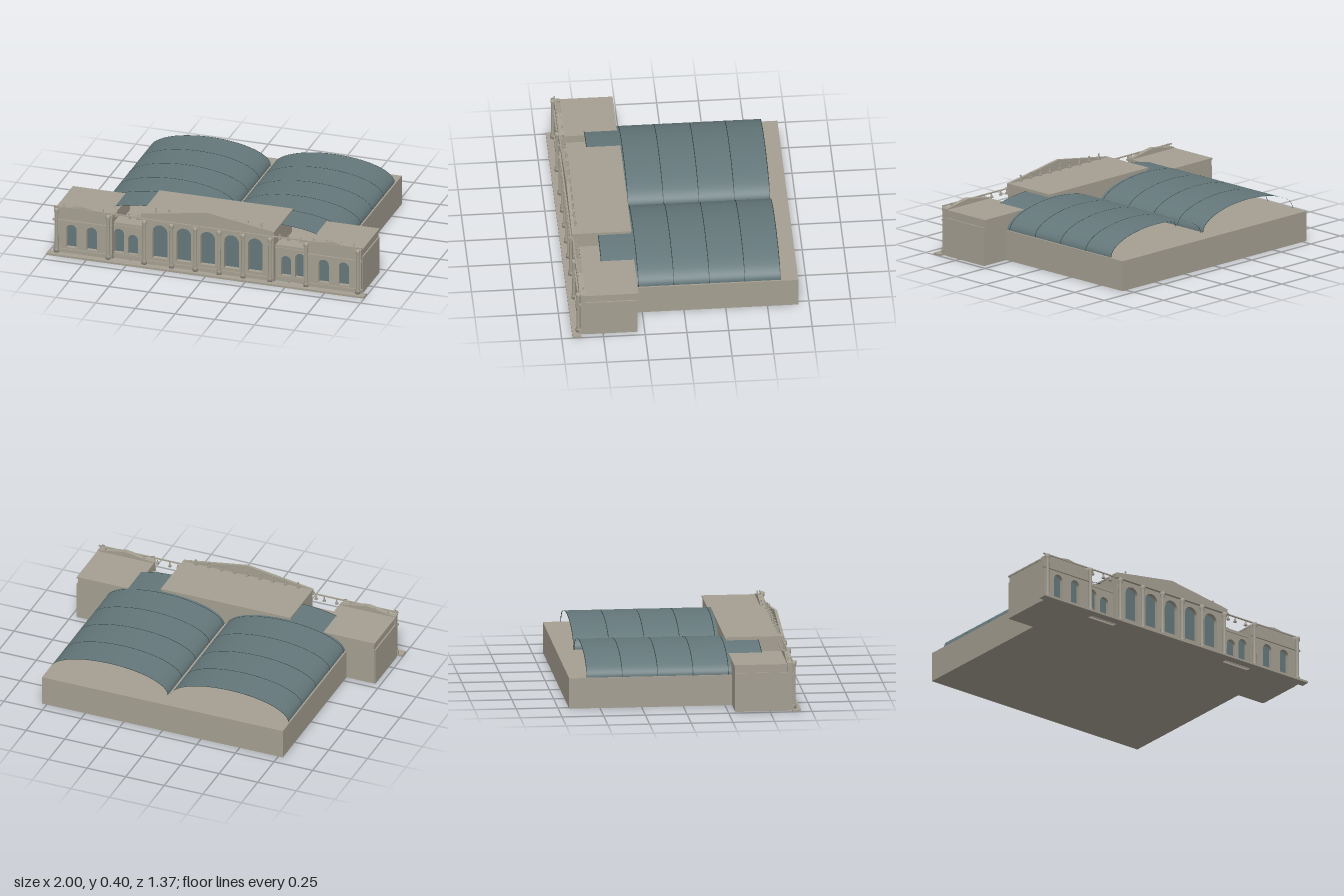
import * as THREE from 'three';

const stone = new THREE.MeshStandardMaterial({ color: 0xa59f91 });
stone.name = 'stone';
const glass = new THREE.MeshStandardMaterial({ color: 0x64777a });
glass.name = 'glass';
const iron = new THREE.MeshStandardMaterial({ color: 0x2e3839 });
iron.name = 'iron';
iron.side = THREE.DoubleSide;

export function createModel() {
  const model = new THREE.Group();
  model.name = 'railwayStation';

  function add(name, geometry, material, x = 0, y = 0, z = 0, parent = model) {
    const mesh = new THREE.Mesh(geometry, material);
    mesh.name = name;
    mesh.position.set(x, y, z);
    parent.add(mesh);
    return mesh;
  }

  // Box given by its limits
  function block(name, x0, x1, y0, y1, z0, z1) {
    const g = new THREE.BoxGeometry(Math.abs(x1 - x0), y1 - y0, z1 - z0);
    return add(name, g, stone, (x0 + x1) / 2, (y0 + y1) / 2, (z0 + z1) / 2);
  }

  // Round-headed outline, used for both openings and panes
  function arch(Type, x, w, y0, y1) {
    const r = w / 2, p = new Type();
    p.moveTo(x - r, y0);
    p.lineTo(x + r, y0);
    p.lineTo(x + r, y1 - r);
    p.absarc(x, y1 - r, r, 0, Math.PI, false);
    p.lineTo(x - r, y0);
    return p;
  }

  // Pierced front wall with panes set at its back
  function facade(name, outline, z0, z1, windows) {
    const shape = new THREE.Shape(outline.map(([x, y]) => new THREE.Vector2(x, y)));
    for (const w of windows) shape.holes.push(arch(THREE.Path, ...w));
    const g = new THREE.ExtrudeGeometry(shape, { depth: z1 - z0, bevelEnabled: false, curveSegments: 10 });
    add(name + 'Wall', g, stone, 0, 0, z0);
    for (const w of windows) {
      add(name + 'Window', new THREE.ShapeGeometry(arch(THREE.Shape, ...w), 10), glass, 0, 0, z0 + 0.003);
    }
  }

  // Column with base, shaft and capital
  function column(x, top) {
    const r = 0.011, y0 = 0.012;
    const profile = [[0, y0], [0.016, y0], [0.016, 0.034], [r, 0.04], [r * 0.9, top - 0.035],
      [0.015, top - 0.022], [0.015, top], [0, top]].map(([a, b]) => new THREE.Vector2(a, b));
    add('column', new THREE.LatheGeometry(profile, 12), stone, x, 0, 0.646);
  }

  // Small roof figure: pedestal, body and head
  function statue(x, y, h) {
    const s = new THREE.Group();
    s.name = 'statue';
    s.position.set(x, y, 0.615);
    add('pedestal', new THREE.BoxGeometry(0.016, h * 0.25, 0.016), stone, 0, h * 0.125, 0, s);
    add('body', new THREE.CylinderGeometry(0.004, 0.007, h * 0.5, 8), stone, 0, h * 0.5, 0, s);
    add('head', new THREE.SphereGeometry(h * 0.13, 8, 6), stone, 0, h * 0.87, 0, s);
    model.add(s);
  }

  // Train hall and forecourt step
  block('hall', -0.78, 0.78, 0, 0.185, -0.685, 0.575);
  block('frontStep', -1, 1, 0, 0.012, 0.632, 0.685);

  // Half-elliptical sheet running along z
  function halfTube(rx, ry, length) {
    const g = new THREE.CylinderGeometry(1, 1, length, 40, 1, true, -Math.PI / 2, Math.PI);
    g.rotateX(-Math.PI / 2);
    g.scale(rx, ry, 1);
    return g;
  }

  // Twin glazed vaults with iron ribs
  for (const s of [-1, 1]) {
    add('vault', halfTube(0.38, 0.13, 1.065), glass, s * 0.39, 0.185, -0.0475);
    for (let i = 0; i < 6; i++) {
      add('rib', halfTube(0.3805, 0.1315, 0.004), iron, s * 0.39, 0.185, -0.578 + i * 0.2125);
    }
  }

  // Central pavilion
  block('centreBlock', -0.415, 0.415, 0, 0.325, 0.292, 0.605);
  block('centreRoof', -0.42, 0.42, 0.325, 0.335, 0.285, 0.625);
  facade('centre', [[-0.415, 0], [0.415, 0], [0.415, 0.325], [-0.415, 0.325]], 0.605, 0.635,
    [-0.3, -0.15, 0, 0.15, 0.3].map(x => [x, 0.092, 0.055, 0.272]));
  const gable = new THREE.Shape([[-0.42, 0.308], [0.42, 0.308], [0.42, 0.335], [0, 0.4], [-0.42, 0.335]]
    .map(([x, y]) => new THREE.Vector2(x, y)));
  add('centreGable', new THREE.ExtrudeGeometry(gable, { depth: 0.017, bevelEnabled: false }), stone, 0, 0, 0.625);
  block('centreCornice', -0.425, 0.425, 0.298, 0.308, 0.63, 0.652);
  block('centrePlinth', -0.418, 0.418, 0.012, 0.036, 0.63, 0.643);
  for (const x of [-0.395, -0.225, -0.075, 0.075, 0.225, 0.395]) column(x, 0.3);
  for (let i = -4; i <= 4; i++) statue(i * 0.083, 0.335, 0.042);

  for (const s of [-1, 1]) {
    const m = pts => (s > 0 ? pts : pts.slice().reverse()).map(([x, y]) => [s * x, y]);

    // Recessed link between centre and wing
    block('linkBlock', s * 0.41, s * 0.61, 0, 0.235, 0.48, 0.575);
    facade('link', m([[0.41, 0], [0.61, 0], [0.61, 0.235], [0.41, 0.235]]), 0.575, 0.6,
      [[s * 0.482, 0.062, 0.04, 0.168], [s * 0.57, 0.062, 0.04, 0.195]]);
    block('linkCornice', s * 0.41, s * 0.61, 0.213, 0.221, 0.595, 0.606);
    block('linkPlinth', s * 0.41, s * 0.61, 0.012, 0.034, 0.595, 0.605);

    // Side wing
    block('wingBlock', s * 0.603, s * 0.96, 0, 0.276, 0.292, 0.605);
    block('wingSideWall', s * 0.955, s * 0.968, 0, 0.235, 0.294, 0.605);
    block('wingRoof', s * 0.6, s * 0.965, 0.275, 0.285, 0.287, 0.63);
    facade('wing', m([[0.603, 0], [0.965, 0], [0.965, 0.29], [0.784, 0.32], [0.603, 0.29]]), 0.605, 0.635,
      [[s * 0.73, 0.064, 0.045, 0.195], [s * 0.857, 0.064, 0.045, 0.195]]);
    block('wingCornice', s * 0.603, s * 0.972, 0.214, 0.224, 0.63, 0.645);
    block('wingPlinth', s * 0.603, s * 0.972, 0.012, 0.036, 0.63, 0.643);
    for (const x of [0.623, 0.948]) column(s * x, 0.3);

    // Rail carried across the link and wing, with roof figures
    block('rail', s * 0.42, s * 0.97, 0.301, 0.308, 0.632, 0.64);
    for (const x of [0.447, 0.5, 0.58]) statue(s * x, 0.281, 0.034);
    for (const x of [0.665, 0.745, 0.83, 0.913]) statue(s * x, 0.285, 0.034);
  }
  return model;
}
